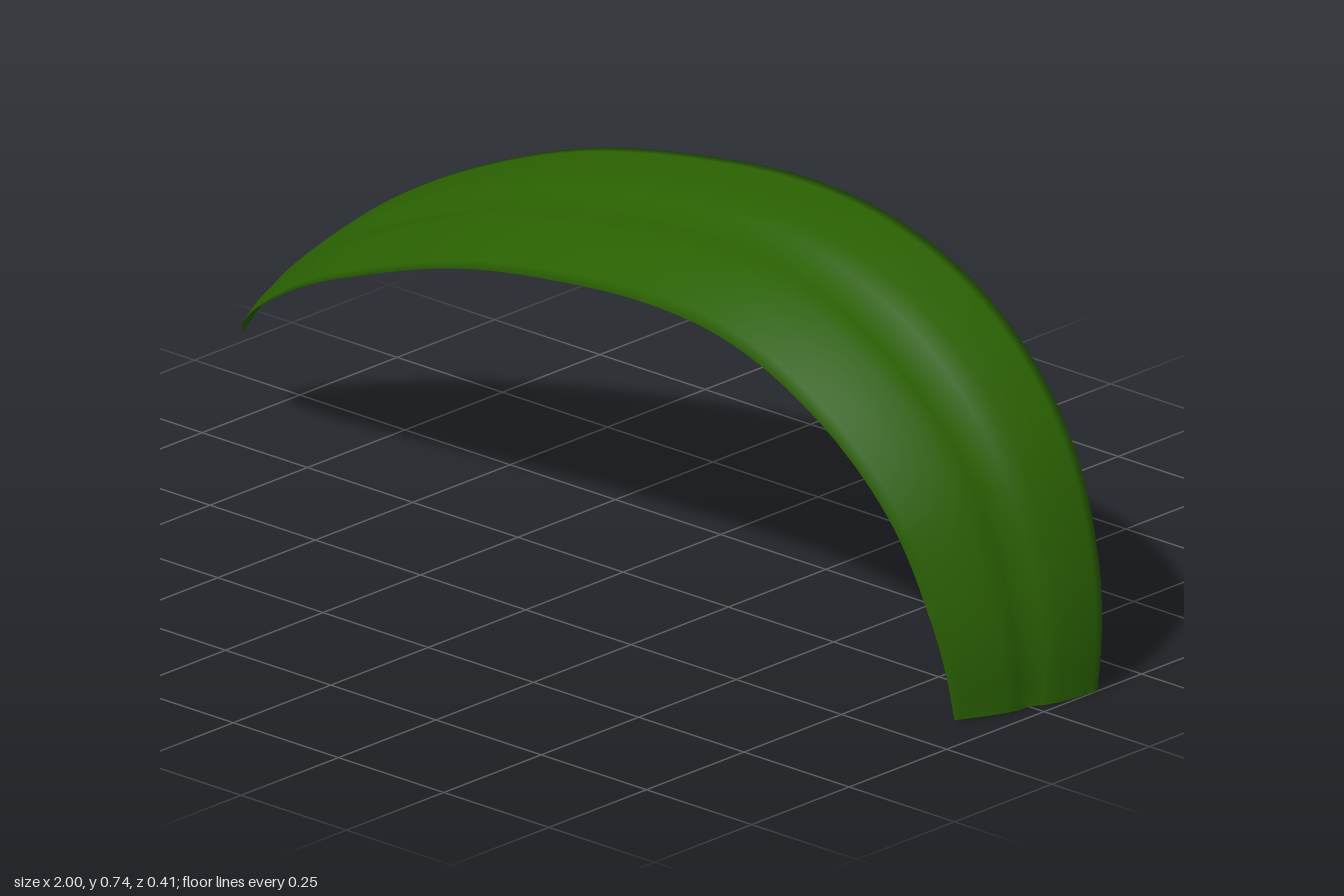
import * as THREE from 'three';

// Stations from base to tip: centre x, centre y, centre z, half width, half tilt
const STATIONS = [
  [0.957, 0, 0, 0.137, 0.043], [0.951, 0.1, 0, 0.152, 0.046], [0.928, 0.21, 0, 0.167, 0.05],
  [0.86, 0.375, 0, 0.185, 0.055], [0.75, 0.506, 0, 0.197, 0.06], [0.605, 0.605, 0, 0.204, 0.062],
  [0.44, 0.664, 0, 0.205, 0.061], [0.25, 0.683, -0.001, 0.204, 0.061],
  [0, 0.661, -0.004, 0.195, 0.061], [-0.25, 0.611, -0.01, 0.179, 0.06],
  [-0.5, 0.519, -0.022, 0.156, 0.055], [-0.7, 0.418, -0.038, 0.126, 0.043],
  [-0.87, 0.295, -0.062, 0.08, 0.026], [-0.95, 0.218, -0.083, 0.045, 0.014],
  [-1, 0.16, -0.105, 0.001, 0],
];

// Half of the cross-section, midrib to rim: position across, height of the arch
const HALF = [[0, 0.008], [0.17, 0.021], [0.37, 0.023], [0.65, 0.0145], [0.9, 0.005], [1, 0]];
const THICKNESS = 0.006;

// Closed ring: upper face from back rim to front rim, then the lower face back again
function crossSection() {
  const upper = [...HALF.slice(1).reverse().map(([u, h]) => [-u, h]), ...HALF];
  const lower = upper.slice(1, -1).reverse().map(([u, h]) => [u, h - THICKNESS]);
  return [...upper, ...lower];
}

function bladeGeometry(rows = 84) {
  const centre = new THREE.CatmullRomCurve3(STATIONS.map(([x, y, z]) => new THREE.Vector3(x, y, z)));
  const size = new THREE.CatmullRomCurve3(STATIONS.map((s) => new THREE.Vector3(s[3], s[4], 0)));
  const ring = crossSection();
  const n = ring.length;
  const positions = [];
  const index = [];

  for (let i = 0; i <= rows; i++) {
    const t = i / rows;
    const c = centre.getPoint(t);
    const { x: width, y: tilt } = size.getPoint(t);
    const tangent = centre.getTangent(t).setZ(0).normalize();
    const normal = new THREE.Vector3(tangent.y, -tangent.x, 0);
    const scale = width / 0.205;

    for (const [u, height] of ring) {
      const p = c.clone().addScaledVector(normal, height * scale - u * tilt);
      // The base is cut level with the ground
      positions.push(p.x, i === 0 ? 0 : Math.max(p.y, 0), c.z + u * width);
    }
  }

  for (let i = 0; i < rows; i++) {
    for (let j = 0; j < n; j++) {
      const a = i * n + j;
      const b = i * n + ((j + 1) % n);
      index.push(a, a + n, b, a + n, b + n, b);
    }
  }

  const geometry = new THREE.BufferGeometry();
  geometry.setAttribute('position', new THREE.Float32BufferAttribute(positions, 3));
  geometry.setIndex(index);
  geometry.computeVertexNormals();
  return geometry;
}

export function createModel() {
  const group = new THREE.Group();
  group.name = 'leaf';

  // Arching leaf blade with rounded rims, open at the base
  const material = new THREE.MeshStandardMaterial({ color: 0x2a6002, side: THREE.DoubleSide });
  const blade = new THREE.Mesh(bladeGeometry(), material);
  blade.name = 'leafBlade';
  group.add(blade);
  return group;
}
